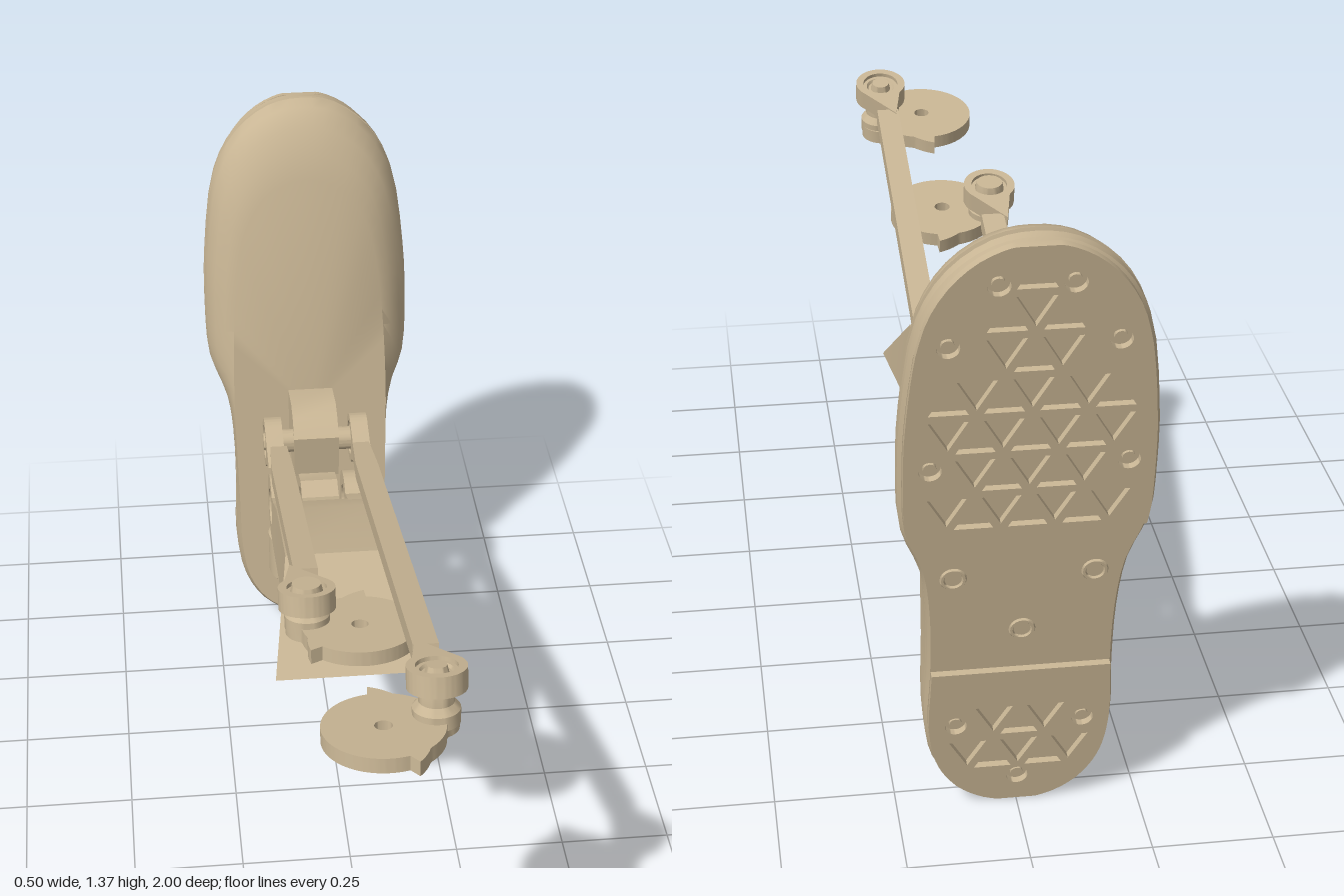
import * as THREE from 'three';
import { toCreasedNormals } from 'three/addons/utils/BufferGeometryUtils.js';

const TILT = -0.147; // lean of the foot and the crank discs
const CLAY = new THREE.MeshStandardMaterial({ color: 0xc8b594 });
CLAY.name = 'clay beige';

function part(name, geometry, parent, x = 0, y = 0, z = 0) {
  const mesh = new THREE.Mesh(toCreasedNormals(geometry, 0.6), CLAY);
  mesh.name = name;
  mesh.position.set(x, y, z);
  parent.add(mesh);
  return mesh;
}
const group = (name, parent, x = 0, y = 0, z = 0, rx = 0) => {
  const g = new THREE.Group();
  g.name = name;
  g.position.set(x, y, z);
  g.rotation.x = rx;
  parent.add(g);
  return g;
};
const shapeOf = pts => new THREE.Shape(pts.map(p => new THREE.Vector2(p[0], p[1])));
const circleHole = (x, y, r) => new THREE.Path().absarc(x, y, r, 0, Math.PI * 2, true);
const extrude = (shape, depth) =>
  new THREE.ExtrudeGeometry(shape, { depth, bevelEnabled: false, curveSegments: 24 });
// Shape drawn in (z, y), thick along x, centred
const sideExtrude = (shape, w) => extrude(shape, w).translate(0, 0, -w / 2).rotateY(-Math.PI / 2);
// Shape drawn in (x, z), thick along y, centred
const planExtrude = (shape, h) => extrude(shape, h).translate(0, 0, -h / 2).rotateX(Math.PI / 2);
const lathe = (pts, n = 32) => new THREE.LatheGeometry(pts.map(p => new THREE.Vector2(p[0], p[1])), n);

// ---- Foot ----
const SOLE = [[0, 0], [.07, .012], [.13, .05], [.175, .12], [.192, .22], [.188, .35], [.19, .5], [.205, .62],
  [.243, .725], [.25, .85], [.245, 1], [.215, 1.2], [.16, 1.3], [.08, 1.36], [0, 1.375]];
const UPPER = [[0, .03], [.07, .04], [.125, .075], [.165, .14], [.182, .23], [.185, .35], [.188, .5], [.19, .62],
  [.188, .74], [.182, .86], [.17, .98], [.145, 1.09], [.105, 1.155], [.05, 1.19], [0, 1.2]];
function loop(half) {
  const all = [...half, ...half.slice(1, -1).reverse().map(([x, y]) => [-x, y])];
  const curve = new THREE.CatmullRomCurve3(all.map(([x, y]) => new THREE.Vector3(x, y, 0)), true);
  return Array.from({ length: 84 }, (_, i) => curve.getPoint(i / 84));
}
const soleLoop = loop(SOLE), upperLoop = loop(UPPER);

function footGeometry() {
  // [height above sole, blend to upper outline, inset scale]
  const rings = [[.015, 0, .97], [.025, 0, 1], [.045, 0, 1], [.048, 0, .975], [.055, 0, .975], [.058, 0, 1],
    [.09, .08, 1], [.12, .32, 1], [.14, .66, 1], [.155, 1, 1]];
  const n = soleLoop.length, pos = [], idx = [];
  for (const [t, k, s] of rings)
    soleLoop.forEach((p, i) => {
      const q = p.clone().lerp(upperLoop[i], k);
      pos.push(q.x * s, .69 + (q.y - .69) * (1 - (1 - s) * .4), t);
    });
  const low = pos.length / 3, high = low + 1, last = (rings.length - 1) * n;
  pos.push(0, .6, rings[0][0], 0, .6, .155);
  for (let j = 0; j < n; j++) {
    const k = (j + 1) % n;
    for (let r = 0; r < last; r += n) idx.push(r + j, r + k, r + n + k, r + j, r + n + k, r + n + j);
    idx.push(low, k, j, high, last + j, last + k);
  }
  const g = new THREE.BufferGeometry();
  g.setAttribute('position', new THREE.Float32BufferAttribute(pos, 3));
  g.setIndex(idx);
  return g;
}
function halfWidth(s) {
  for (let i = 0; i < 42; i++) {
    const a = soleLoop[i], b = soleLoop[i + 1];
    if (s >= a.y && s <= b.y) return a.x + (b.x - a.x) * (s - a.y) / (b.y - a.y || 1);
  }
  return 0;
}
const SCREWS = [[.07, 1.29], [-.07, 1.29], [.16, 1.16], [-.16, 1.16], [.19, .88], [-.19, .88],
  [.13, .22], [-.13, .22], [0, .07]];

// Tread pad with a triangular lattice of pockets and screw holes
function treadPad(s0, s1) {
  const shape = shapeOf(edgeClip(s0, s1));
  for (const [x, y] of SCREWS) if (y > s0 && y < s1) shape.holes.push(circleHole(x, y, .022));
  const a = .105, h = a * .866;
  for (let row = 0; row < 17; row++)
    for (let col = -5; col <= 5; col++)
      for (const up of [1, -1]) {
        const cx = (col + (row % 2) / 2 + (up < 0 ? .5 : 0)) * a, cy = row * h + (up > 0 ? h / 3 : h * 2 / 3);
        const tri = [0, 1, 2].map(i => {
          const ang = up * Math.PI / 2 + i * Math.PI * 2 / 3;
          return new THREE.Vector2(cx + Math.cos(ang) * a * .42, cy + Math.sin(ang) * a * .42);
        });
        const inside = tri.every(p => p.y > s0 + .015 && p.y < s1 - .015 && Math.abs(p.x) < halfWidth(p.y) - .025);
        const clear = SCREWS.every(([x, y]) => Math.hypot(x - cx, y - cy) > .07);
        if (inside && clear) shape.holes.push(new THREE.Path(tri.reverse()));
      }
  return extrude(shape, .017);
}
function edgeClip(s0, s1) {
  const ys = [], lo = Math.max(s0, .004), hi = Math.min(s1, 1.371);
  for (let i = 0; i <= 30; i++) ys.push(lo + (hi - lo) * (1 - Math.cos(Math.PI * i / 30)) / 2);
  const right = ys.map(y => [halfWidth(y) * .965, y]);
  return [...right, ...right.slice().reverse().map(([x, y]) => [-x, y])];
}

// ---- Linkage ----
// Rod eye tapering into the rod along +x of the shape
function teardrop(r, len, h) {
  const s = new THREE.Shape();
  s.moveTo(len, h);
  s.absarc(0, 0, r, .8, Math.PI * 2 - .8, false);
  s.lineTo(len, -h);
  s.closePath();
  s.holes.push(circleHole(0, 0, .042));
  return s;
}
const bearing = () => lathe([[0, -.02], [.03, -.02], [.043, -.014], [.043, .014], [.034, .014], [.03, .008],
  [.024, .008], [.02, .024], [0, .024]]);

function crankDisc(stud, hooks) {
  const pts = [], d = .11, R = .05;
  for (let i = 0; i < 120; i++) {
    const a = i / 120 * Math.PI * 2;
    let r = .122;
    for (const [at, dir] of hooks) {
      const off = ((a - at) * dir + Math.PI * 8) % (Math.PI * 2);
      if (off < .4) r = Math.max(r, .153 - off * .08);
    }
    const disc = R * R - (d * Math.sin(a - stud)) ** 2;
    if (disc > 0 && Math.cos(a - stud) > 0) r = Math.max(r, d * Math.cos(a - stud) + Math.sqrt(disc));
    pts.push([Math.cos(a) * r, Math.sin(a) * r]);
  }
  const shape = shapeOf(pts);
  shape.holes.push(circleHole(0, 0, .018));
  return planExtrude(shape, .032);
}

function addLinkage(root, name, side, length, discY, discZ, hooks) {
  // Push rod
  const rod = group(name + 'PushRod', root, side * .1, .62, -.6, -.247);
  const ankle = part('ankleEye', sideExtrude(teardrop(.06, .14, .02), .042), rod);
  ankle.position.x = side * .005;
  part('ankleBearing', bearing().rotateZ(-side * Math.PI / 2), rod, side * .005);
  const end = length - .11;
  const plan = shapeOf([[-.018, .1], [.022, .1], [.026, .25], [.026, end], [-.026, end], [-.026, .25]]);
  part('rodBar', planExtrude(plan, .04), rod).scale.x = side < 0 ? -1 : 1;
  if (side < 0) { // the bar is nearly symmetric, so the mirrored one keeps its own winding
    const bar = rod.children[rod.children.length - 1];
    bar.scale.x = 1;
  }
  const eye = teardrop(.06, .13, .026);
  part('crankEye', planExtrude(eye, .046).rotateY(Math.PI / 2), rod, side * .007, 0, length);
  part('crankBearing', bearing(), rod, side * .007, 0, length);

  // Crank disc with its stud
  const crank = group(name + 'Crank', root, 0, discY, discZ, TILT);
  const stud = Math.atan2(-.04, side * .107);
  part('crankDisc', crankDisc(stud, hooks), crank);
  part('crankStud', lathe([[0, 0], [.048, 0], [.048, .03], [.036, .045], [.036, .075], [.03, .1], [0, .1]]),
    crank, side * .107, .0, -.035);
}

export function createModel() {
  const root = new THREE.Group();
  root.name = 'mechanicalFoot';

  // Foot with treaded sole
  const foot = group('foot', root, 0, .005, -.8, TILT);
  part('footShell', footGeometry(), foot);
  part('toeTread', treadPad(.72, 1.38), foot);
  part('heelTread', treadPad(0, .36), foot);
  for (const [x, y] of SCREWS)
    part('soleScrew', new THREE.CylinderGeometry(.013, .013, .012, 12).rotateX(Math.PI / 2), foot, x, y, .012);
  for (const [x, y] of [[.14, .6], [-.14, .6], [0, .46]])
    part('archBoss', new THREE.TorusGeometry(.022, .005, 6, 20), foot, x, y, .014);

  // Heel drum
  const heel = group('heelDrum', root, 0, .29, -.6, TILT);
  part('drum', lathe([[0, -.035], [.04, -.035], [.045, -.055], [.115, -.055], [.12, -.05], [.12, .05],
    [.115, .055], [0, .055]], 40), heel);

  // Ankle joint: knuckle with open bore, and the rod block above it
  const knuckle = shapeOf([[-.45, .485], [-.47, .535], [-.515, .555], [-.58, .535], [-.7, .535], [-.72, .5],
    [-.715, .43], [-.685, .42], [-.665, .36], [-.56, .335], [-.5, .36], [-.465, .43]]);
  knuckle.holes.push(circleHole(-.515, .485, .045));
  part('ankleKnuckle', sideExtrude(knuckle, .09), root);
  part('rodBlock', sideExtrude(shapeOf([[-.575, .53], [-.73, .53], [-.76, .675], [-.65, .69], [-.61, .675],
    [-.57, .64]]), .11), root);
  part('rodPin', new THREE.CylinderGeometry(.028, .028, .2, 20).rotateZ(Math.PI / 2), root, 0, .62, -.6);

  // Shin: flared wedge with two clevis cheeks
  const shin = sideExtrude(shapeOf([[.24, .535], [.02, .715], [-.3, .622], [-.42, .56], [-.42, .416],
    [0, .492]]), .24);
  const p = shin.attributes.position;
  for (let i = 0; i < p.count; i++) p.setX(i, p.getX(i) * (1 + Math.max(0, p.getZ(i)) * 1.56));
  part('shin', shin, root);
  const cheek = new THREE.Shape();
  cheek.moveTo(-.4, .419);
  cheek.lineTo(-.4, .57);
  cheek.lineTo(-.44, .555);
  cheek.absarc(-.515, .485, .08, .85, Math.PI * 2 - 1.3, false);
  cheek.closePath();
  cheek.holes.push(circleHole(-.515, .485, .045));
  for (const side of [1, -1]) part('clevisCheek', sideExtrude(cheek, .06), root, side * .09);

  // Push rods and crank discs
  addLinkage(root, 'left', 1, 1.455, .88, .855, [[-1.7, 1], [1.25, -1]]);
  addLinkage(root, 'right', -1, 1.02, .805, .43, [[-1.39, -1], [2.36, 1]]);
  return root;
}
